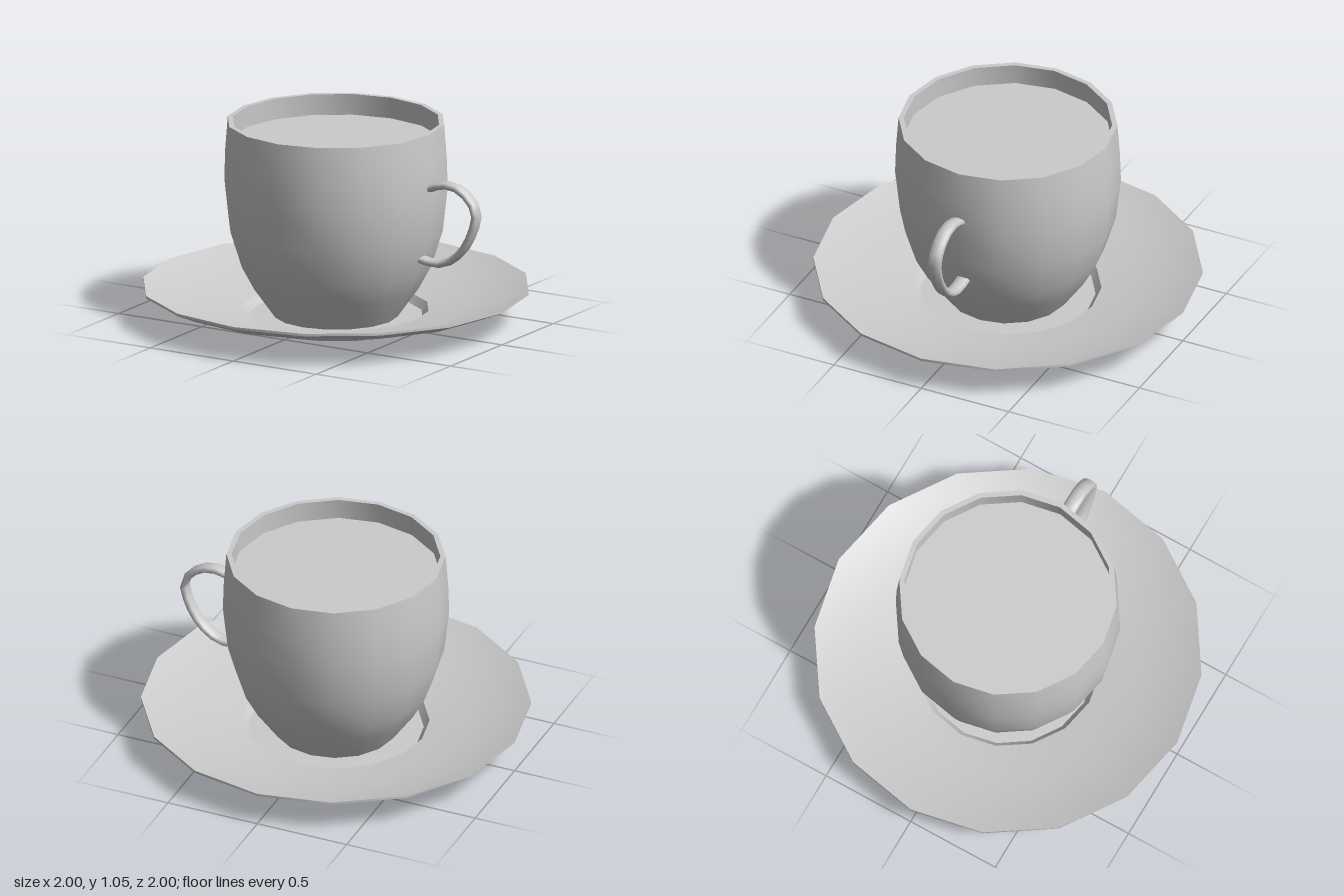
import * as THREE from 'three';
import { toCreasedNormals } from 'three/addons/utils/BufferGeometryUtils.js';

const SIDES = 16;
const material = new THREE.MeshStandardMaterial({ color: 0xcccccc });

function addMesh(group, name, geometry) {
  const mesh = new THREE.Mesh(geometry, material);
  mesh.name = name;
  group.add(mesh);
  return mesh;
}

// Turned part from [radius, height] pairs: smooth around, sharp at hard edges
function turned(profile) {
  const points = profile.map(([r, y]) => new THREE.Vector2(r, y));
  return toCreasedNormals(new THREE.LatheGeometry(points, SIDES), THREE.MathUtils.degToRad(38));
}

export function createModel() {
  const group = new THREE.Group();
  group.name = 'cupAndSaucer';

  // Saucer: foot, flared underside, thin rim, top with a recess for the cup
  addMesh(group, 'saucer', turned([
    [0, 0], [0.46, 0], [0.49, 0.045], [0.89, 0.12], [1, 0.167],
    [1, 0.18], [0.88, 0.137], [0.69, 0.095], [0.48, 0.06], [0.45, 0.02], [0, 0.02],
  ]));

  // Cup: outer wall up to the rim, then the inner wall down to the floor
  addMesh(group, 'cup', turned([
    [0, 0.025], [0.32, 0.025], [0.43, 0.18], [0.495, 0.3], [0.555, 0.49], [0.58, 0.72],
    [0.575, 0.88], [0.562, 1.05],
    [0.535, 1.05], [0.54, 0.88], [0.545, 0.72], [0.52, 0.49], [0.46, 0.3], [0.39, 0.18],
    [0.29, 0.07], [0, 0.07],
  ]));

  // Drink surface just below the rim
  const drink = addMesh(group, 'drink', new THREE.CircleGeometry(0.538, SIDES));
  drink.rotation.x = -Math.PI / 2;
  drink.position.y = 0.94;

  // Handle: flat loop with an oval section, ends sunk into the cup wall
  const path = new THREE.CatmullRomCurve3([
    [0.55, 0.762], [0.63, 0.793], [0.71, 0.798], [0.79, 0.758], [0.845, 0.68],
    [0.825, 0.575], [0.755, 0.455], [0.66, 0.386], [0.59, 0.376], [0.5, 0.39],
  ].map(([x, y]) => new THREE.Vector3(x, y, 0)));
  const handle = addMesh(group, 'handle', new THREE.TubeGeometry(path, 14, 0.021, 8));
  handle.scale.z = 1.85;

  return group;
}
